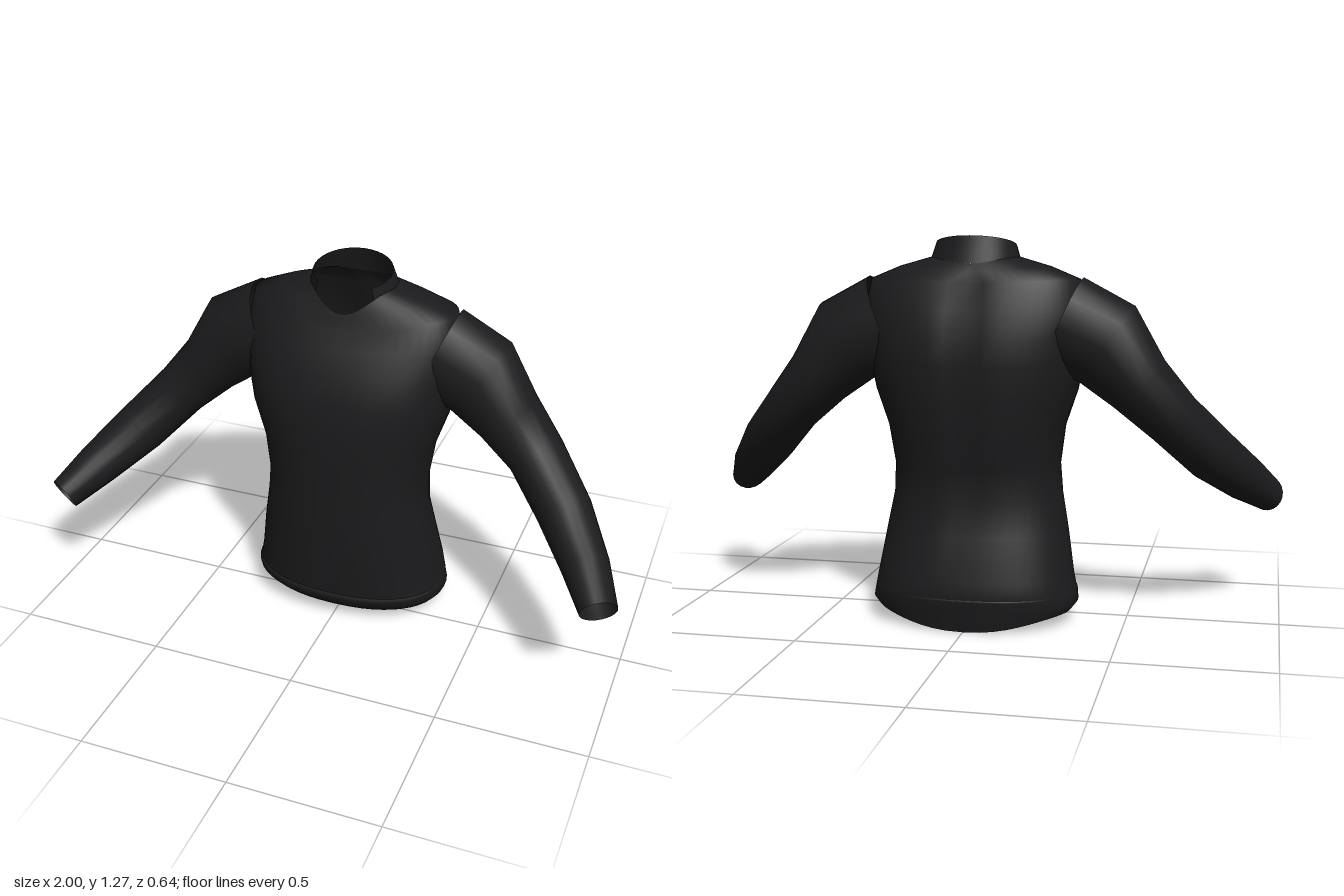
import * as THREE from 'three';

const fabric = new THREE.MeshStandardMaterial({ color: 0x1b1b1d, roughness: 0.9, side: THREE.DoubleSide });

// Smooth skin through rings of points; closed rings wrap around.
function loft(name, rings, closed = true) {
  const n = rings[0].length, index = [];
  for (let i = 0; i < rings.length - 1; i++) {
    for (let j = 0; j < (closed ? n : n - 1); j++) {
      const k = (j + 1) % n;
      const a = i * n + j, b = i * n + k, c = a + n, d = b + n;
      index.push(a, c, b, b, c, d);
    }
  }
  const geometry = new THREE.BufferGeometry().setFromPoints(rings.flat());
  geometry.setIndex(index);
  geometry.computeVertexNormals();
  const mesh = new THREE.Mesh(geometry, fabric);
  mesh.name = name;
  return mesh;
}

// Point on a body section: heights at front, back and side, half width, front z, back z.
function bodyPoint([yFront, yBack, ySide, half, zFront, zBack], angle, power) {
  const c = Math.cos(angle), s = Math.sin(angle);
  const w = s ** 4, mid = (zFront + zBack) / 2, depth = (zFront - zBack) / 2;
  const x = Math.sign(c) * Math.abs(c) ** power * half;
  const z = mid + Math.sign(s) * Math.abs(s) ** power * depth;
  return new THREE.Vector3(x, ySide * (1 - w) + (s > 0 ? yFront : yBack) * w, z);
}

const range = (n, f) => Array.from({ length: n }, (_, i) => f(i));
const NECK = [1.13, 1.18, 1.2, 0.145, 0.03, -0.215];

function makeTorso() {
  const level = (y, half, zFront, zBack) => [y, y, y, half, zFront, zBack];
  const sections = [
    level(0.11, 0.338, 0.138, -0.318),
    level(0.16, 0.328, 0.142, -0.32),
    level(0.3, 0.305, 0.154, -0.28),
    level(0.42, 0.283, 0.158, -0.252),
    level(0.52, 0.276, 0.161, -0.27),
    level(0.65, 0.294, 0.165, -0.297),
    level(0.77, 0.335, 0.165, -0.307),
    level(0.86, 0.352, 0.155, -0.314),
    level(0.95, 0.362, 0.13, -0.308),
    level(1.03, 0.37, 0.085, -0.284),
    [1.08, 1.12, 1.13, 0.345, 0.052, -0.256],
    [1.115, 1.155, 1.17, 0.25, 0.038, -0.235],
    NECK,
  ];
  return loft('torso', sections.map((s, i) => range(48, j => {
    const p = bodyPoint(s, j / 48 * Math.PI * 2, i > 10 ? 1 : 0.87);
    // Shallow groove along the spine
    if (p.z < -0.1 && i > 2 && i < 11) p.z += 0.016 * Math.exp(-((p.x / 0.05) ** 2));
    return p;
  })));
}

// Flared hem that tucks under, dropping to a tail at the back
function makeHem() {
  const sections = [
    [0.04, 0.0, 0.045, 0.325, 0.105, -0.3],
    [0.06, 0.06, 0.07, 0.345, 0.125, -0.312],
    [0.103, 0.105, 0.105, 0.34, 0.155, -0.321],
    [0.11, 0.11, 0.11, 0.338, 0.138, -0.318],
  ];
  return loft('hem', sections.map(s => range(48, j => bodyPoint(s, j / 48 * Math.PI * 2, 0.87))));
}

// Standing collar around the back and sides, open at the front
function makeCollar() {
  const start = Math.PI * 0.74, sweep = Math.PI * 1.52;
  const angle = j => start + sweep * j / 28;
  const base = range(29, j => bodyPoint(NECK, angle(j), 1));
  const top = range(29, j => {
    const p = bodyPoint([0, 0, 0, 0.132, 0.03, -0.19], angle(j), 1);
    p.y = 1.22 - 0.26 * p.z;
    return p;
  });
  return loft('collar', [base, top], false);
}

// Sleeve sections: centre x, y, z, then radius across the front plane and radius in depth
function makeSleeve(side) {
  const stations = [
    [0.29, 0.985, -0.105, 0.165, 0.135],
    [0.43, 0.925, -0.105, 0.153, 0.132],
    [0.535, 0.8, -0.1, 0.112, 0.12],
    [0.642, 0.69, -0.072, 0.095, 0.103],
    [0.765, 0.56, 0.02, 0.092, 0.092],
    [0.873, 0.457, 0.155, 0.077, 0.08],
    [0.947, 0.385, 0.277, 0.058, 0.068],
  ];
  const centres = stations.map(s => new THREE.Vector3(s[0], s[1], s[2]));
  const rings = stations.map((s, i) => {
    const t = centres[Math.min(i + 1, centres.length - 1)].clone()
      .sub(centres[Math.max(i - 1, 0)]).normalize();
    const u = new THREE.Vector3(-t.y, t.x, 0).normalize();
    const v = u.clone().cross(t);
    const ring = range(20, j => {
      const a = j / 20 * Math.PI * 2;
      const p = centres[i].clone().addScaledVector(u, Math.cos(a) * s[3]).addScaledVector(v, Math.sin(a) * s[4]);
      p.x *= side;
      return p;
    });
    return side < 0 ? ring.reverse() : ring;
  });
  return loft(side > 0 ? 'leftSleeve' : 'rightSleeve', rings);
}

export function createModel() {
  const group = new THREE.Group();
  group.name = 'sweater';
  group.add(makeTorso(), makeHem(), makeCollar(), makeSleeve(1), makeSleeve(-1));
  return group;
}
